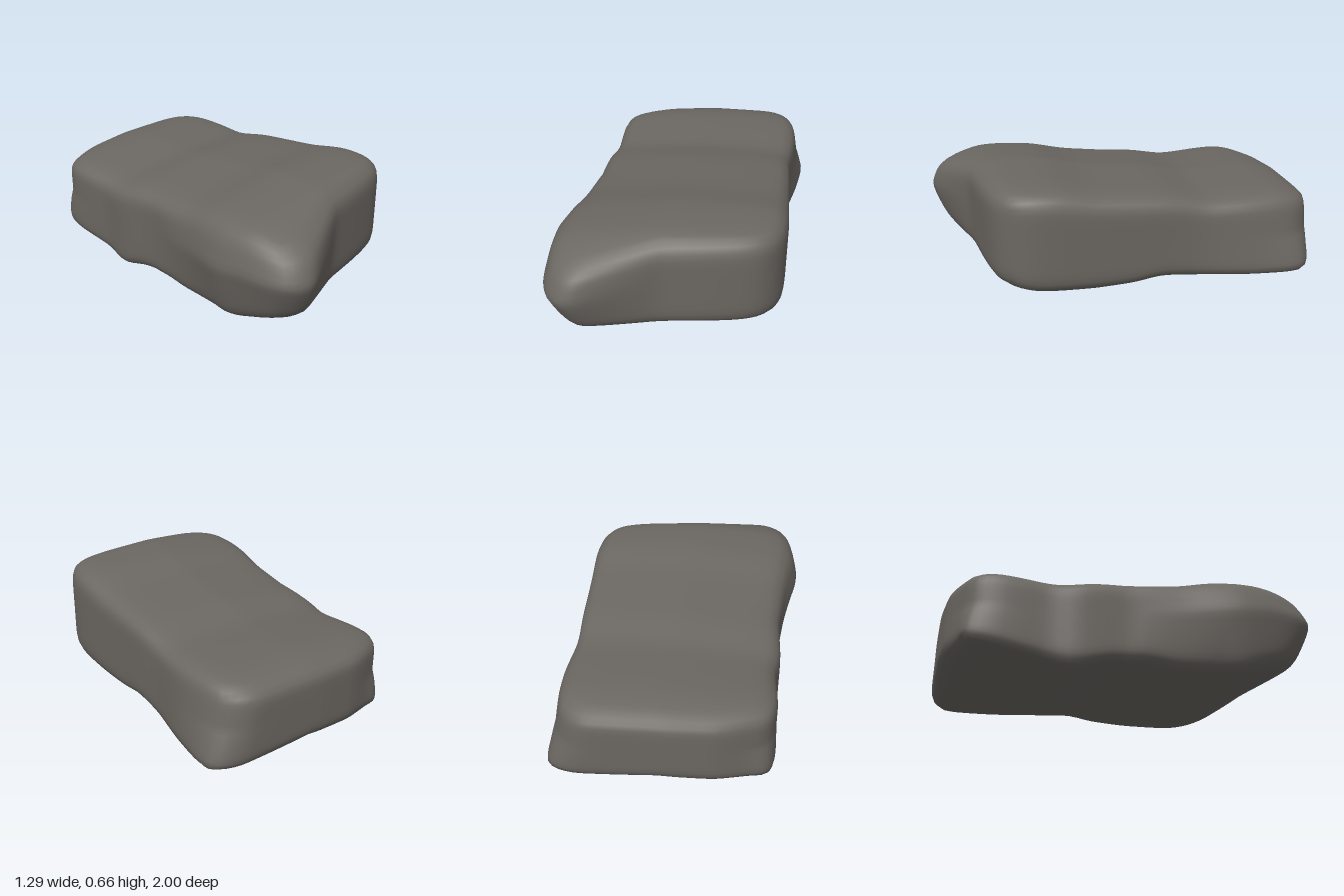
import * as THREE from 'three';
import { mergeVertices } from 'three/addons/utils/BufferGeometryUtils.js';

// Smoothed interpolation through [position, value] pairs
function profile(points) {
  const f = (t) => {
    if (t <= points[0][0]) return points[0][1];
    for (let i = 1; i < points.length; i++) {
      const [a, va] = points[i - 1], [b, vb] = points[i];
      if (t <= b) return va + (vb - va) * (t - a) / (b - a);
    }
    return points[points.length - 1][1];
  };
  return (t) => (f(t - 0.05) + 2 * f(t) + f(t + 0.05)) / 4;
}

// Outline of the boulder along z: sides, top, and underside at either side
const sideMinus = profile([[-1, -0.48], [-0.88, -0.51], [-0.75, -0.52], [-0.47, -0.5], [-0.33, -0.53],
  [-0.05, -0.52], [0.25, -0.575], [0.53, -0.645], [0.88, -0.625], [1.1, -0.6]]);
const sidePlus = profile([[-1, 0.63], [-0.87, 0.63], [-0.6, 0.61], [-0.35, 0.575], [0.07, 0.583],
  [0.38, 0.592], [0.55, 0.59], [0.8, 0.57]]);
const top = profile([[-1, 0.54], [-0.8, 0.553], [-0.4, 0.538], [-0.2, 0.58], [0, 0.6], [0.2, 0.62],
  [0.4, 0.66], [0.7, 0.672], [0.9, 0.63], [1.1, 0.58]]);
const bottomMinus = profile([[-1, 0.11], [-0.75, 0.07], [-0.5, 0.03], [-0.35, -0.008], [-0.15, 0.05],
  [0.05, 0.06], [0.2, 0.037], [0.55, 0.045], [0.7, 0.09], [0.9, 0.13], [1.1, 0.16]]);
const bottomPlus = profile([[-1, 0.115], [-0.6, 0.11], [-0.35, 0.115], [-0.15, 0.13], [0, 0.1],
  [0.2, 0.09], [0.5, 0.095], [0.7, 0.12]]);

// Slanted front, bowed back and cross tilt, along u (-1 to 1 across the width)
const front = profile([[-1, 1.02], [-0.73, 1.015], [-0.4, 0.92], [0, 0.805], [0.35, 0.775], [0.65, 0.745],
  [0.85, 0.72], [1, 0.68]]);
const back = profile([[-1, 0.95], [-0.8, 0.93], [-0.5, 0.98], [-0.1, 1], [0.7, 1], [1, 0.97]]);
const topDrop = profile([[-1, 0.065], [-0.6, 0.04], [0, 0], [1, 0]]);

function boulderGeometry() {
  let geo = new THREE.BoxGeometry(2, 2, 2, 28, 16, 40);
  geo.deleteAttribute('uv');
  geo.deleteAttribute('normal');
  geo = mergeVertices(geo);
  const pos = geo.attributes.position;
  for (let i = 0; i < pos.count; i++) {
    // Round the box edges, less so along the lower sides towards the back
    const p = [pos.getX(i), pos.getY(i), pos.getZ(i)];
    const n = 8 + 6 * Math.max(0, -p[1]) * Math.abs(p[0]) * (1 - p[2]) / 2;
    const r = Math.pow(p.reduce((s, c) => s + Math.pow(Math.abs(c), n), 0), 1 / n);
    const [u, v, w] = p.map((c) => c / r);
    const ahead = Math.max(0, w), behind = Math.max(0, -w);
    const plus = Math.max(0, u), minus = Math.max(0, -u);
    const fromRidge = Math.abs(v - 0.2);

    // Front tip narrows to a nose above mid height
    let z = w > 0 ? w * front(u) : w * back(u);
    z -= 0.12 * ahead * minus * Math.pow(fromRidge, 1.3);

    const x0 = sideMinus(z), x1 = sidePlus(z);
    let x = x0 + (x1 - x0) * (u + 1) / 2;
    // Ridge along one side, flared rear foot on the other
    x += 0.07 * minus * fromRidge * Math.min(1, 2 * ahead);
    x -= 0.06 * plus * behind * behind * v;

    const tilt = THREE.MathUtils.clamp((u + 0.5) / 1.5, 0, 1);
    const y0 = THREE.MathUtils.lerp(bottomMinus(z), bottomPlus(z), tilt);
    const y1 = top(z) - topDrop(u) * (1 - 0.5 * behind);
    pos.setXYZ(i, x, y0 + (y1 - y0) * (v + 1) / 2, z);
  }
  geo.computeVertexNormals();
  return geo;
}

export function createModel() {
  const group = new THREE.Group();
  group.name = 'rock';
  const stone = new THREE.MeshStandardMaterial({ color: 0x6b6762 });
  stone.name = 'grey stone';
  const boulder = new THREE.Mesh(boulderGeometry(), stone);
  boulder.name = 'boulder';
  group.add(boulder);
  return group;
}
